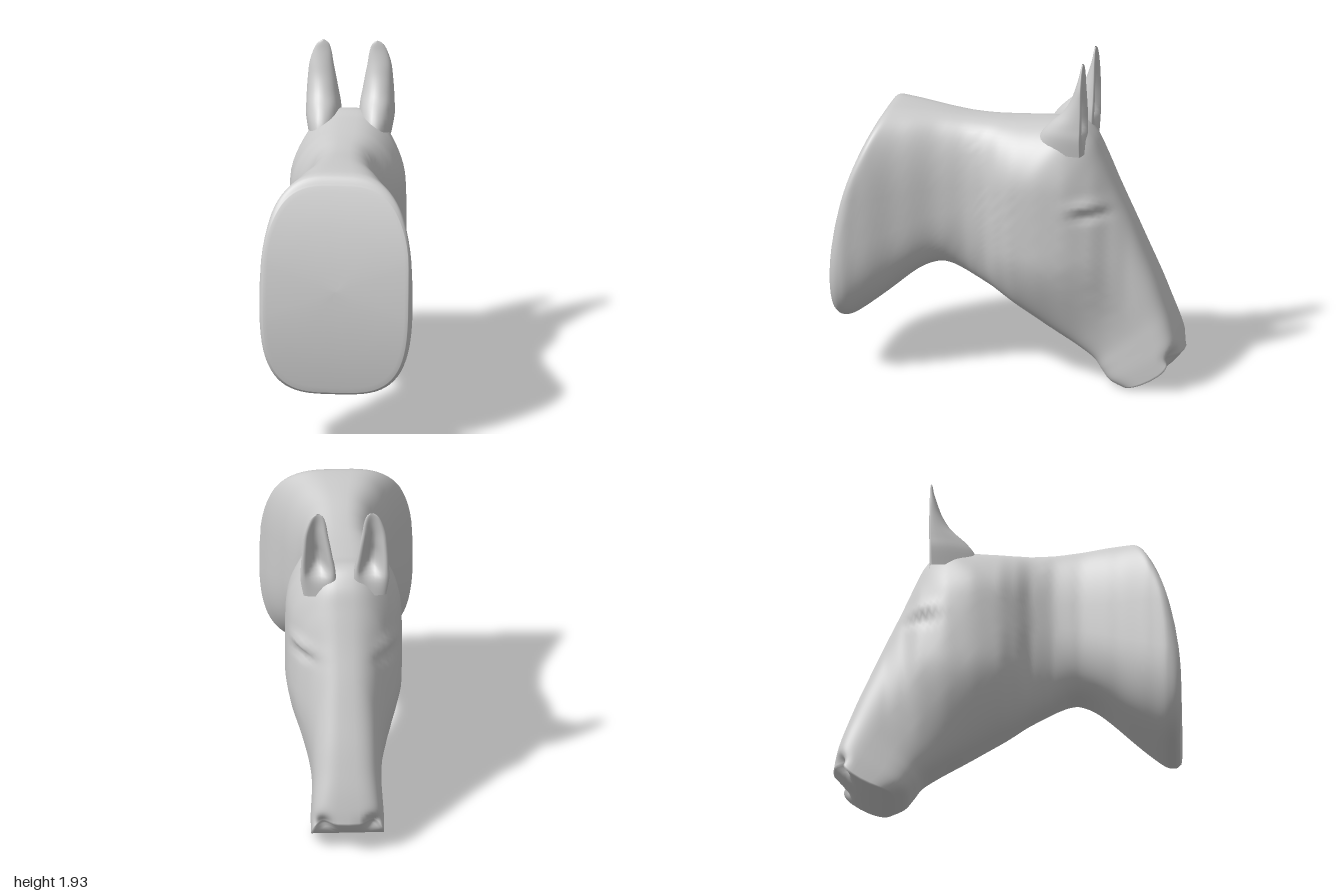
import * as THREE from 'three';

const material = new THREE.MeshStandardMaterial({ color: 0xcccccc, side: THREE.DoubleSide });
const { smoothstep, lerp } = THREE.MathUtils;

// Skin a list of closed rings (equal point counts) with shared, smooth vertices
function skin(rings, name) {
  const n = rings[0].length, index = [];
  for (let i = 0; i < rings.length - 1; i++) {
    for (let j = 0; j < n; j++) {
      const a = i * n + j, b = i * n + (j + 1) % n;
      index.push(a, b, a + n, b, b + n, a + n);
    }
  }
  const g = new THREE.BufferGeometry();
  g.setAttribute('position', new THREE.Float32BufferAttribute(rings.flat(2), 3));
  g.setIndex(index);
  g.computeVertexNormals();
  const mesh = new THREE.Mesh(g, material);
  mesh.name = name;
  return mesh;
}

// Catmull-Rom interpolation through rows of numbers
function refine(rows, steps) {
  const out = [], last = rows.length - 1;
  for (let i = 0; i < last; i++) {
    const [p, q, r, s] = [i - 1, i, i + 1, i + 2].map(k => rows[Math.min(last, Math.max(0, k))]);
    for (let k = 0; k < steps; k++) {
      const t = k / steps;
      out.push(q.map((v, c) => v + 0.5 * t * (r[c] - p[c] + t * (2 * p[c] - 5 * v + 4 * r[c] - s[c]
        + t * (3 * (v - r[c]) + s[c] - p[c])))));
    }
  }
  out.push(rows[last]);
  return out;
}

// Half width along z: flared base, slim neck, broad cheeks, narrow muzzle
const widths = [[-1, .2], [-.7, .21], [-.6, .235], [-.5, .285], [-.35, .325], [-.2, .333], [-.05, .32],
  [.04, .285], [.13, .23], [.25, .212], [.4, .235], [.6, .315], [.8, .405], [.9, .435], [1.05, .435]];
function halfWidth(z, y) {
  let i = 0;
  while (i < widths.length - 2 && z > widths[i + 1][0]) i++;
  const [z0, w0] = widths[i], [z1, w1] = widths[i + 1];
  const w = lerp(w0, w1, smoothstep(z, z0, z1) * .4 + .6 * Math.min(1, Math.max(0, (z - z0) / (z1 - z0))));
  // jaw and crest are slimmer than the cheeks
  if (z > .2 || w < .2) return w;
  return .2 + (w - .2) * smoothstep(y, .2, .8) * (1 - .45 * smoothstep(y, 1.2, 1.6));
}

const bell = (a, b, ra, rb) => Math.exp(-((a / ra) ** 2) - (b / rb) ** 2);

// Sections: top z, top y, bottom z, bottom y, bow, squareness, width scale
const sections = [
  [.755, 1.50, .975, .33, .085, 3.4, .95],
  [.715, 1.55, .94, .31, .08, 3.4, 1],
  [.64, 1.56, .87, .33, .06, 3.3, 1],
  [.46, 1.55, .71, .45, .02, 3, 1],
  [.25, 1.53, .54, .59, 0, 2.8, 1],
  [.05, 1.525, .43, .638, 0, 2.7, 1],
  [-.1, 1.53, .36, .635, 0, 2.7, 1],
  [-.25, 1.54, .30, .61, 0, 2.7, 1],
  [-.38, 1.55, .24, .578, 0, 2.7, 1],
  [-.47, 1.47, .18, .545, 0, 2.7, 1],
  [-.535, 1.34, .1, .50, 0, 2.7, 1],
  [-.62, 1.15, 0, .435, 0, 2.8, 1],
  [-.70, .98, -.1, .375, 0, 2.9, 1],
  [-.78, .80, -.24, .29, 0, 3, 1],
  [-.85, .64, -.38, .21, 0, 3.2, .98],
  [-.905, .50, -.48, .145, 0, 3.4, .97],
  [-.945, .39, -.53, .085, 0, 3.7, 1],
  [-.975, .29, -.58, .03, -.01, 4, 1.03],
  [-.995, .21, -.65, .003, -.04, 4, 1.03],
];

// One section ring; shrink < 1 draws the inner rings of an end cap
function ring([tz, ty, bz, by, bow, n, k], shrink = 1) {
  const dz = (tz - bz) / 2, dy = (ty - by) / 2, len = Math.hypot(dz, dy), pts = [];
  const power = v => Math.sign(v) * Math.abs(v) ** (2 / n);
  for (let j = 0; j < 72; j++) {
    const a = j / 72 * Math.PI * 2;
    const s = power(Math.cos(a)) * shrink, side = power(Math.sin(a)) * shrink;
    const b = bow * (1 - s * s);
    let z = (tz + bz) / 2 + dz * s + b * dy / len;
    const y = (ty + by) / 2 + dy * s - b * dz / len;
    let x = side * k * halfWidth(z, y);
    // eye bulge with a lid crease below it
    const eye = .03 * bell(z + .49, y - 1.11, .09, .035) - .03 * bell(z + .5, y - 1.055, .08, .03);
    x += side * eye;
    // nostril hollows
    const nostril = bell(Math.abs(x) - .14, y - .19, .05, .055) * smoothstep(-z, .86, .92);
    z += .07 * nostril;
    pts.push([x, y, z]);
  }
  return pts;
}

// Ear sections: y, centre x, half width, front z, back z, cup depth
const earSections = [
  [1.40, .15, .085, -.45, -.15, 0],
  [1.50, .152, .10, -.455, -.19, .02],
  [1.57, .153, .098, -.457, -.245, .09],
  [1.64, .158, .09, -.457, -.32, .09],
  [1.72, .162, .08, -.455, -.37, .06],
  [1.80, .165, .068, -.452, -.4, .035],
  [1.87, .16, .052, -.449, -.42, .018],
  [1.915, .156, .033, -.445, -.428, .006],
  [1.935, .153, .008, -.44, -.432, 0],
];

function ear(side, name) {
  const rings = refine(earSections, 4).map(([y, cx, w, zf, zb, cup]) => {
    const pts = [];
    for (let j = 0; j < 32; j++) {
      const a = -side * j / 32 * Math.PI * 2, c = Math.cos(a), s = Math.sin(a);
      // back is round, front is hollowed between two rims
      const z = s > 0 ? lerp(zf + .02 * Math.min(1, w * 10), zb, s) : zf + .02 * Math.min(1, w * 10) * (1 + s)
        + cup * Math.max(0, 1 - (c / .8) ** 2) ** 1.5;
      pts.push([side * (cx + w * c), y, z]);
    }
    // keep the ring running the same way round on both sides
    return side > 0 ? pts : pts.map((p, j) => pts[(32 - j) % 32]).reverse();
  });
  return skin(rings, name);
}

export function createModel() {
  const group = new THREE.Group();
  group.name = 'horseHeadBust';
  const first = sections[0], last = sections[sections.length - 1];
  const caps = [0, .2, .4, .6, .75, .87, .95];
  const rings = [
    ...caps.map(c => ring(first, c)),
    ...refine(sections, 6).map(r => ring(r)),
    ...caps.slice().reverse().map(c => ring(last, c)),
  ];
  group.add(skin(rings, 'neckAndHead'));
  group.add(ear(1, 'leftEar'), ear(-1, 'rightEar'));
  return group;
}
